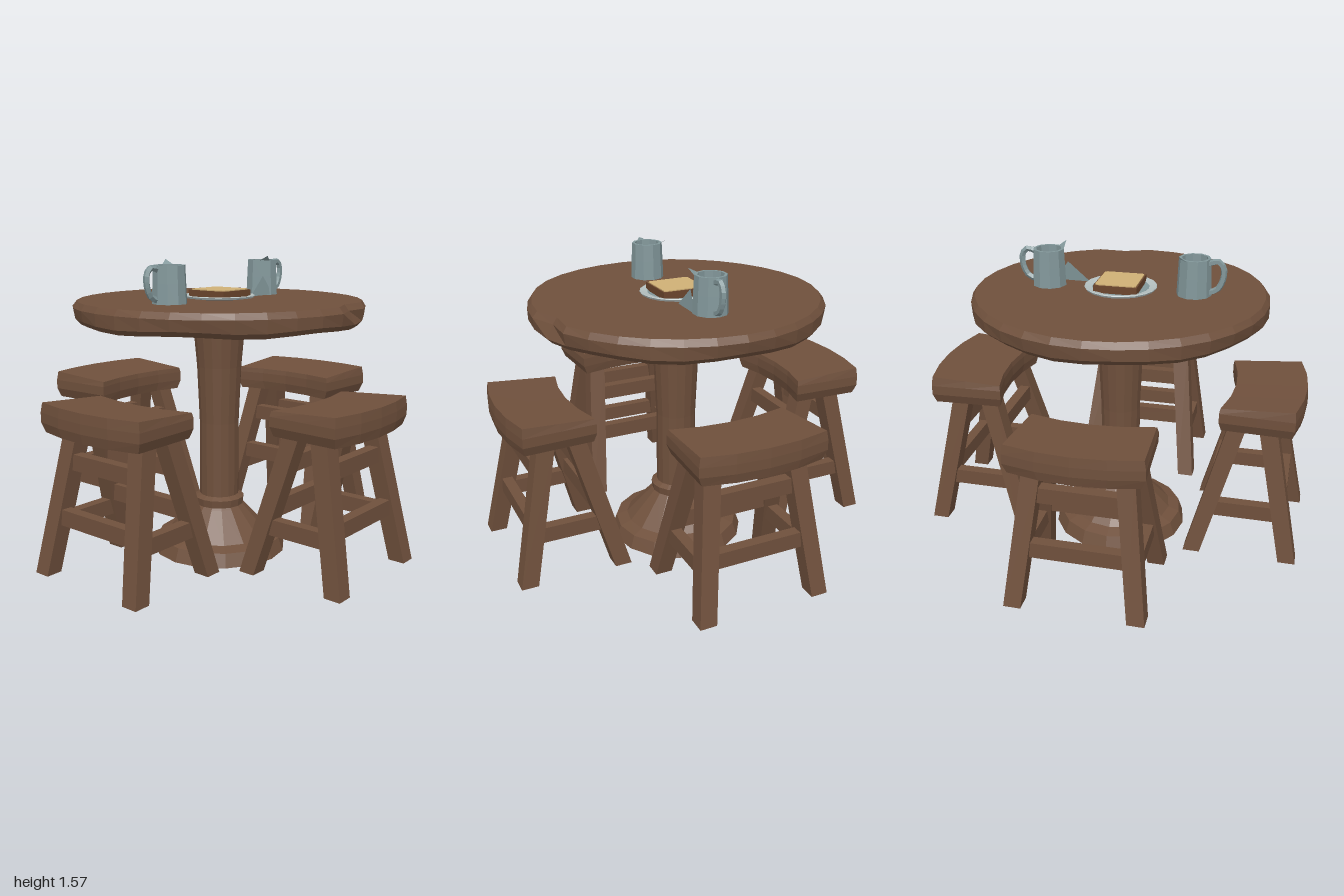
import * as THREE from 'three';

const mat = (name, color, side = THREE.FrontSide) => {
  const m = new THREE.MeshStandardMaterial({ color, side });
  m.name = name;
  return m;
};

// Faceted normals on any geometry
const flat = (g) => {
  const f = g.index ? g.toNonIndexed() : g;
  f.computeVertexNormals();
  return f;
};

// Move every vertex by a rule
const warp = (g, rule) => {
  const p = g.attributes.position;
  const v = new THREE.Vector3();
  for (let i = 0; i < p.count; i++) {
    v.fromBufferAttribute(p, i);
    rule(v);
    p.setXYZ(i, v.x, v.y, v.z);
  }
  return g;
};

const lathe = (pts, sides) =>
  new THREE.LatheGeometry(pts.map(([r, y]) => new THREE.Vector2(r, y)), sides);

export function createModel() {
  const wood = mat('wood', 0x6f503c);
  const pewter = mat('pewter', 0x82979a, THREE.DoubleSide);
  const paleRim = mat('pale rim', 0xb4c0c0);
  const bread = mat('bread', 0xcfb075);
  const crust = mat('crust', 0x6b452c);

  const model = new THREE.Group();
  model.name = 'tableAndStools';
  const add = (parent, name, geo, material) => {
    const m = new THREE.Mesh(flat(geo), material);
    m.name = name;
    parent.add(m);
    return m;
  };

  // Round table top with a worn rim and one chip in the edge
  const top = lathe([[0, 1.24], [0.725, 1.24], [0.75, 1.265], [0.757, 1.325], [0.735, 1.355], [0, 1.355]], 32);
  warp(top, (v) => {
    const r = Math.hypot(v.x, v.z);
    if (r < 0.1) return;
    const a = Math.atan2(v.z, v.x);
    let k = 1 + 0.004 * Math.sin(a * 5 + v.y * 40);
    if (Math.abs(a + 0.29) < 0.1 && v.y > 1.3) k *= 0.94;
    v.x *= k;
    v.z *= k;
    if (v.y < 1.3) v.y += 0.006 * Math.sin(a * 7);
  });
  add(model, 'tableTop', top, wood);

  // Pedestal with a hollow flared foot, collar and tapering column
  add(model, 'pedestal', lathe([
    [0, 0.22], [0.1, 0.22], [0.24, 0.09], [0.335, 0], [0.36, 0], [0.335, 0.07], [0.275, 0.09],
    [0.14, 0.235], [0.13, 0.245], [0.135, 0.285], [0.105, 0.3], [0.105, 0.7], [0.118, 1.0], [0.14, 1.245],
  ], 16), wood);

  // Square beam between two points; ends stay level for legs (axis y) or upright for rungs
  const beam = (a, b, axis, w0, w1 = w0, h = w0) => {
    const size = axis === 'y' ? [1, 1, 1] : axis === 'x' ? [1, h, w0] : [w0, h, 1];
    return warp(new THREE.BoxGeometry(...size), (v) => {
      const t = v[axis] + 0.5;
      if (axis === 'y') {
        const w = w0 + (w1 - w0) * t;
        v.x *= w;
        v.z *= w;
      }
      v[axis] = 0;
      v.x += a[0] + (b[0] - a[0]) * t;
      v.y += a[1] + (b[1] - a[1]) * t;
      v.z += a[2] + (b[2] - a[2]) * t;
    });
  };

  // Leg centre lines, outer and inner pair
  const legX = (y) => 0.302 - (y - 0.06) * 0.115;
  const outerZ = (y) => 0.952 - (y - 0.06) * 0.205;
  const innerZ = (y) => 0.458 + (y - 0.06) * 0.275;

  const makeStool = () => {
    const stool = new THREE.Group();
    stool.name = 'stool';

    // Curved seat, bowed outward, chamfered below
    const seat = warp(new THREE.BoxGeometry(0.65, 0.145, 0.37, 4, 3, 2), (v) => {
      const bow = 0.045 * (1 - (v.x / 0.325) ** 2);
      const s = v.y < -0.07 ? 0.94 : v.y > 0.07 ? 0.975 : 1;
      const inner = 0.5 - v.z / 0.37;
      v.x *= s * (1.02 - 0.05 * inner);
      if (v.y > 0.07) v.y -= 0.022 * inner;
      v.z = v.z * s + 0.75 + bow;
      v.y += 0.835;
    });
    add(stool, 'seat', seat, wood);

    for (const s of [1, -1]) {
      for (const [name, z] of [['outerLeg', outerZ], ['innerLeg', innerZ]]) {
        add(stool, name, beam([s * legX(0.06), 0.06, z(0.06)], [s * legX(0.79), 0.79, z(0.79)], 'y', 0.086, 0.09), wood);
      }
      add(stool, 'sideRung', beam([s * legX(0.31), 0.31, innerZ(0.31)], [s * legX(0.31), 0.31, outerZ(0.31)], 'z', 0.055, 0.055, 0.08), wood);
    }
    // Cross rungs on both faces
    for (const [name, z, y, h] of [
      ['upperOuterRung', outerZ, 0.62, 0.08], ['upperInnerRung', innerZ, 0.62, 0.08],
      ['lowerOuterRung', outerZ, 0.35, 0.08], ['lowerInnerRung', innerZ, 0.395, 0.085],
    ]) {
      add(stool, name, beam([-legX(y), y, z(y)], [legX(y), y, z(y)], 'x', 0.055, 0.055, h), wood);
    }
    return stool;
  };
  for (let i = 0; i < 4; i++) {
    const stool = makeStool();
    stool.rotation.y = (i * Math.PI) / 2;
    model.add(stool);
  }

  // Plate: dished centre and pale rim
  add(model, 'plate', lathe([[0, 1.353], [0.12, 1.353], [0.18, 1.368], [0.148, 1.367], [0.135, 1.362], [0, 1.362]], 20), pewter);
  add(model, 'plateRim', lathe([[0.18, 1.362], [0.186, 1.372], [0.182, 1.376], [0.146, 1.368]], 20), paleRim);

  // Slice of bread with crust sides and a thin crumb on top
  const crustMesh = add(model, 'breadCrust', new THREE.BoxGeometry(0.236, 0.038, 0.222), crust);
  crustMesh.position.set(0, 1.382, -0.004);
  const corner = new THREE.Shape();
  corner.moveTo(-0.1, -0.104).lineTo(0.1, -0.104).lineTo(0.111, -0.093).lineTo(0.111, 0.093)
    .lineTo(0.1, 0.104).lineTo(-0.1, 0.104).lineTo(-0.111, 0.093).lineTo(-0.111, -0.093);
  const crumb = add(model, 'breadTop', new THREE.ExtrudeGeometry(corner, { depth: 0.006, bevelEnabled: false }), bread);
  crumb.rotation.x = -Math.PI / 2;
  crumb.position.set(0, 1.4, -0.004);

  // Thin triangle of metal
  const sliver = (...pts) => new THREE.BufferGeometry().setAttribute(
    'position', new THREE.Float32BufferAttribute(pts.flat(), 3));

  // Mugs facing away from each other
  const makeMug = () => {
    const mug = new THREE.Group();
    mug.name = 'mug';
    add(mug, 'mugBody', lathe([[0.088, 0], [0.084, 0.1], [0.08, 0.188], [0.066, 0.188], [0.062, 0.003]], 10), pewter);
    const curve = new THREE.CatmullRomCurve3(
      [[0.07, 0.165], [0.115, 0.178], [0.143, 0.15], [0.142, 0.085], [0.115, 0.035], [0.075, 0.02]]
        .map(([z, y]) => new THREE.Vector3(-0.012, y, z)));
    add(mug, 'mugHandle', new THREE.TubeGeometry(curve, 10, 0.016, 5), pewter);
    add(mug, 'mugLip', sliver([-0.035, 0.185, -0.07], [-0.075, 0.185, -0.03], [-0.088, 0.212, -0.068]), pewter);
    return mug;
  };
  for (const s of [1, -1]) {
    const mug = makeMug();
    mug.position.set(-0.005, 1.355, s * 0.375);
    if (s < 0) mug.rotation.y = Math.PI;
    model.add(mug);
  }
  // Bent sliver trailing from the rear mug
  add(model, 'mugSliver', sliver([0.07, 1.357, -0.18], [0.062, 1.46, -0.295], [0.075, 1.357, -0.37]), pewter);

  return model;
}
